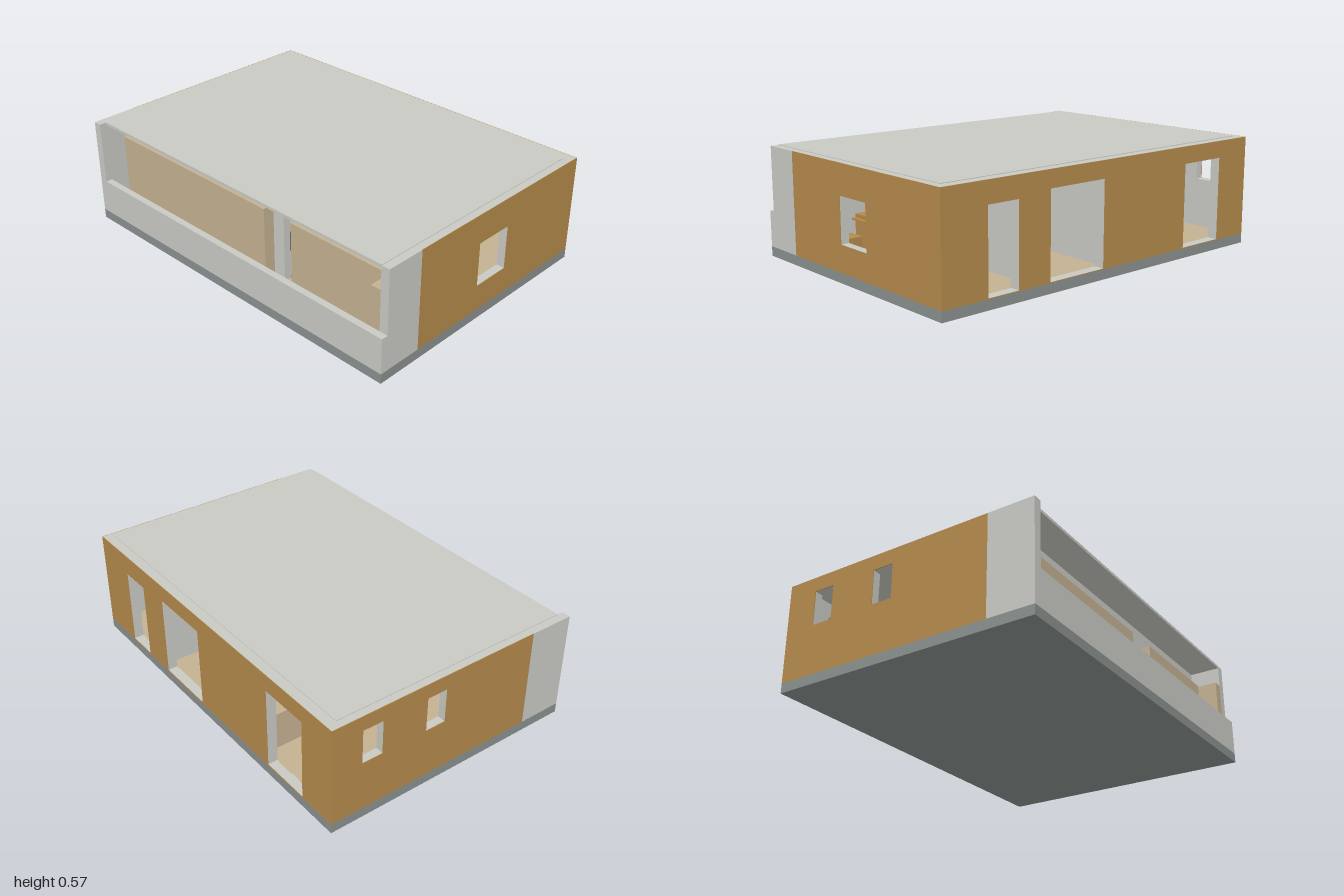
import * as THREE from 'three';

const mat = (name, color) => new THREE.MeshStandardMaterial({ name, color });

export function createModel() {
  const house = new THREE.Group();
  house.name = 'house';
  const plaster = mat('light grey plaster', 0xc9c9c4);
  const tan = mat('tan facade', 0xb58a4c);
  const concrete = mat('foundation grey', 0x8a918f);
  const pale = mat('pale wood', 0xc4b191);
  const black = mat('black', 0x222222);

  // box given by its limits on each axis
  function box(name, m, [x0, x1], [y0, y1], [z0, z1]) {
    const mesh = new THREE.Mesh(new THREE.BoxGeometry(x1 - x0, y1 - y0, z1 - z0), m);
    mesh.position.set((x0 + x1) / 2, (y0 + y1) / 2, (z0 + z1) / 2);
    mesh.name = name;
    house.add(mesh);
    return mesh;
  }

  // upright panel with rectangular openings [u0, u1, v0, v1];
  // alongZ turns it so that u runs along -z and the depth along x
  function panel(name, m, u, v, openings, start, depth, alongZ = false) {
    const rect = (P, a, b, c, d) => {
      const p = new P();
      p.moveTo(a, c); p.lineTo(b, c); p.lineTo(b, d); p.lineTo(a, d); p.closePath();
      return p;
    };
    const shape = rect(THREE.Shape, u[0], u[1], v[0], v[1]);
    openings.forEach(o => shape.holes.push(rect(THREE.Path, ...o)));
    const geo = new THREE.ExtrudeGeometry(shape, { depth, bevelEnabled: false });
    geo.translate(0, 0, start);
    if (alongZ) geo.rotateY(Math.PI / 2);
    const mesh = new THREE.Mesh(geo, m);
    mesh.name = name;
    house.add(mesh);
  }

  // base and floor
  box('foundation', concrete, [-0.7, 0.7], [0, 0.05], [-1, 1]);
  box('floor', pale, [-0.665, 0.65], [0.05, 0.053], [-0.955, 0.955]);

  // outer walls: plaster core with a thin tan skin
  const H = [0.05, 0.567], skin = 0.003;
  const frontWindow = [[-0.05, 0.16, 0.185, 0.415]];
  const backWindows = [[0.423, 0.535, 0.31, 0.49], [0.064, 0.176, 0.31, 0.49]];
  const sideDoors = [[-0.75, -0.575, 0.053, 0.46], [-0.39, -0.05, 0.053, 0.48], [0.52, 0.79, 0.053, 0.48]];
  panel('frontWall', plaster, [-0.665, 0.7 - skin], H, frontWindow, 0.955, 0.045 - skin);
  panel('frontSkin', tan, [-0.46, 0.7], H, frontWindow, 1 - skin, skin);
  box('frontPlasterPanel', plaster, [-0.665, -0.46], H, [1 - skin, 1]);
  panel('backWall', plaster, [-0.7, 0.7 - skin], H, backWindows, -1 + skin, 0.045 - skin);
  panel('backSkin', tan, [-0.46, 0.7], H, backWindows, -1, skin);
  box('backPlasterPanel', plaster, [-0.7, -0.46], H, [-1, -1 + skin]);
  panel('sideWall', plaster, [-0.955, 0.955], H, sideDoors, 0.645, 0.055 - skin, true);
  panel('sideSkin', tan, [-1 + skin, 1 - skin], H, sideDoors, 0.7 - skin, skin, true);

  // terrace parapet and ceiling slab
  box('parapet', plaster, [-0.7, -0.665], [0.05, 0.235], [-0.955, 1]);
  box('roof', plaster, [-0.665, 0.645], [0.555, 0.57], [-0.957, 0.957]);

  // terrace wall with its opening, and the wooden cladding in front of it
  panel('terraceWall', plaster, [-0.955, 0.955], [0.05, 0.556], [[-0.31, -0.2, 0.053, 0.45]], -0.5, 0.04, true);
  box('terraceCladding', pale, [-0.56, -0.5], [0.053, 0.45], [-0.955, 0.13]);
  box('terraceCladding', pale, [-0.56, -0.5], [0.053, 0.45], [0.31, 0.9]);
  box('terraceCornerCabinet', pale, [-0.68 + 0.015, -0.5], [0.053, 0.445], [0.9, 0.955]);

  // room partitions
  for (const z of [0.46, 0]) box('partition', plaster, [-0.46, 0.645], [0.053, 0.556], [z - 0.02, z + 0.02]);

  // kitchen row
  box('kitchenPlinth', concrete, [-0.46, -0.36], [0.053, 0.07], [0.03, 0.43]);
  for (let i = 0; i < 4; i++) {
    const z = 0.03 + i * 0.1;
    box('baseCabinet', plaster, [-0.46, -0.35], [0.07, 0.21], [z, z + 0.097]);
    if (i < 2) {
      box('wallCabinet', plaster, [-0.46, -0.39], [0.315, 0.46], [z + 0.01, z + 0.105]);
      box('cabinetShadowGap', black, [-0.36, -0.348], [0.185, 0.189], [z + 0.01, z + 0.087]);
    }
  }
  box('worktop', black, [-0.46, -0.34], [0.21, 0.222], [0.03, 0.43]);
  box('tap', black, [-0.45, -0.43], [0.222, 0.31], [0.245, 0.26]);

  // living room: screen on a sideboard, desk and stool
  box('sideboard', plaster, [-0.15, 0.25], [0.053, 0.195], [0.48, 0.57]);
  box('sideboardTop', concrete, [-0.15, 0.25], [0.195, 0.21], [0.48, 0.57]);
  box('screen', black, [-0.06, 0.15], [0.21, 0.31], [0.5, 0.515]);
  box('desk', tan, [-0.42, -0.2], [0.053, 0.22], [0.6, 0.68]);
  box('deskShelf', tan, [-0.42, -0.2], [0.19, 0.2], [0.57, 0.7]);
  box('stool', tan, [-0.4, -0.3], [0.053, 0.13], [0.72, 0.8]);

  // bedroom
  box('wardrobe', pale, [0.15, 0.6], [0.053, 0.25], [-0.45, -0.3]);
  box('bedsideBox', concrete, [-0.4, -0.3], [0.053, 0.13], [-0.85, -0.73]);

  return house;
}
